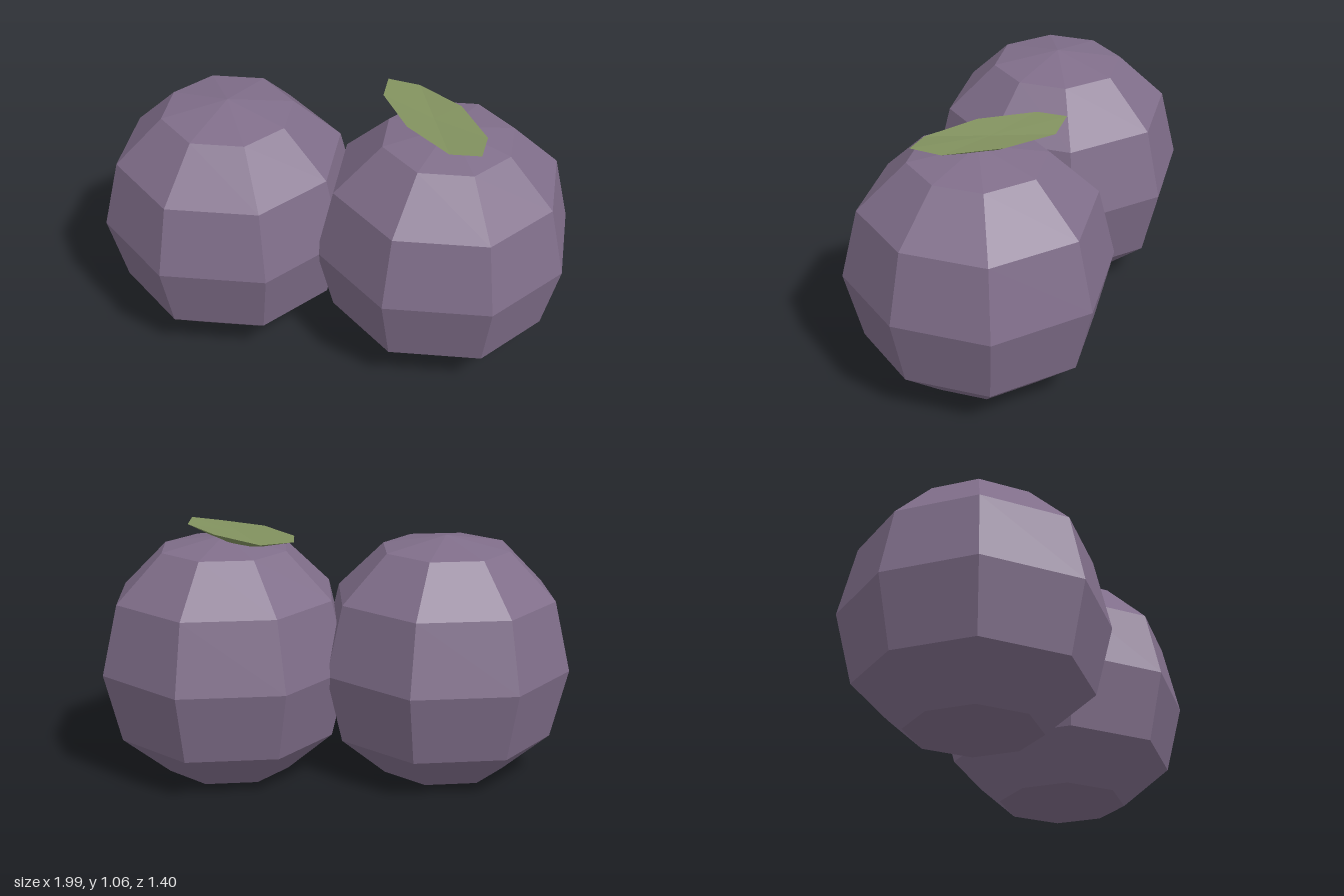
import * as THREE from 'three';

const skin = new THREE.MeshStandardMaterial({ name: 'plum skin', color: 0x806e8a, flatShading: true });
const green = new THREE.MeshStandardMaterial({ name: 'leaf green', color: 0x82925f, flatShading: true });

// Eight-sided berry: radius and height of each ring, from the base up
function makeBerry(name, x, z) {
  const profile = [[0, 0], [0.282, 0], [0.49, 0.18], [0.563, 0.48], [0.49, 0.78], [0.284, 0.98], [0, 1.033]];
  const geo = new THREE.LatheGeometry(profile.map(([r, y]) => new THREE.Vector2(r, y)), 8);
  // Slightly uneven octagon: diagonal corners wider in x, side corners pulled in
  const pos = geo.attributes.position;
  for (let i = 0; i < pos.count; i++) {
    const px = pos.getX(i), pz = pos.getZ(i);
    const diagonal = Math.abs(px) > 0.01 && Math.abs(pz) > 0.01;
    pos.setX(i, px * (diagonal ? 1.026 : 0.973));
    if (diagonal) pos.setZ(i, pz * 0.966);
  }
  const berry = new THREE.Mesh(geo, skin);
  berry.name = name;
  berry.position.set(x, 0, z);
  return berry;
}

// Shallow dished leaf: rim, sunken upper face and narrower underside
function makeLeaf() {
  const rim = [
    [0.08, 1.06, -0.30], [0.21, 1.047, -0.34], [0.44, 1.058, -0.265], [0.63, 1.058, -0.11],
    [0.665, 1.06, 0.02], [0.54, 1.047, 0.055], [0.31, 1.055, -0.025], [0.12, 1.058, -0.18],
  ];
  const mid = [0.375, 1.046, -0.143];
  const base = rim.map(([x, , z]) => [mid[0] + (x - mid[0]) * 0.45, 1.012, mid[2] + (z - mid[2]) * 0.45]);
  const floor = [mid[0], 1.01, mid[2]];
  const verts = [];
  const tri = (a, b, c) => verts.push(...a, ...b, ...c);
  for (let i = 0; i < rim.length; i++) {
    const j = (i + 1) % rim.length;
    tri(mid, rim[j], rim[i]);
    tri(rim[i], rim[j], base[j]);
    tri(rim[i], base[j], base[i]);
    tri(floor, base[i], base[j]);
  }
  const geo = new THREE.BufferGeometry();
  geo.setAttribute('position', new THREE.Float32BufferAttribute(verts, 3));
  geo.computeVertexNormals();
  const leaf = new THREE.Mesh(geo, green);
  leaf.name = 'leaf';
  return leaf;
}

export function createModel() {
  const model = new THREE.Group();
  model.name = 'berryPair';
  model.add(makeBerry('rightBerry', -0.45, 0.137), makeBerry('leftBerry', 0.447, -0.14), makeLeaf());
  return model;
}
